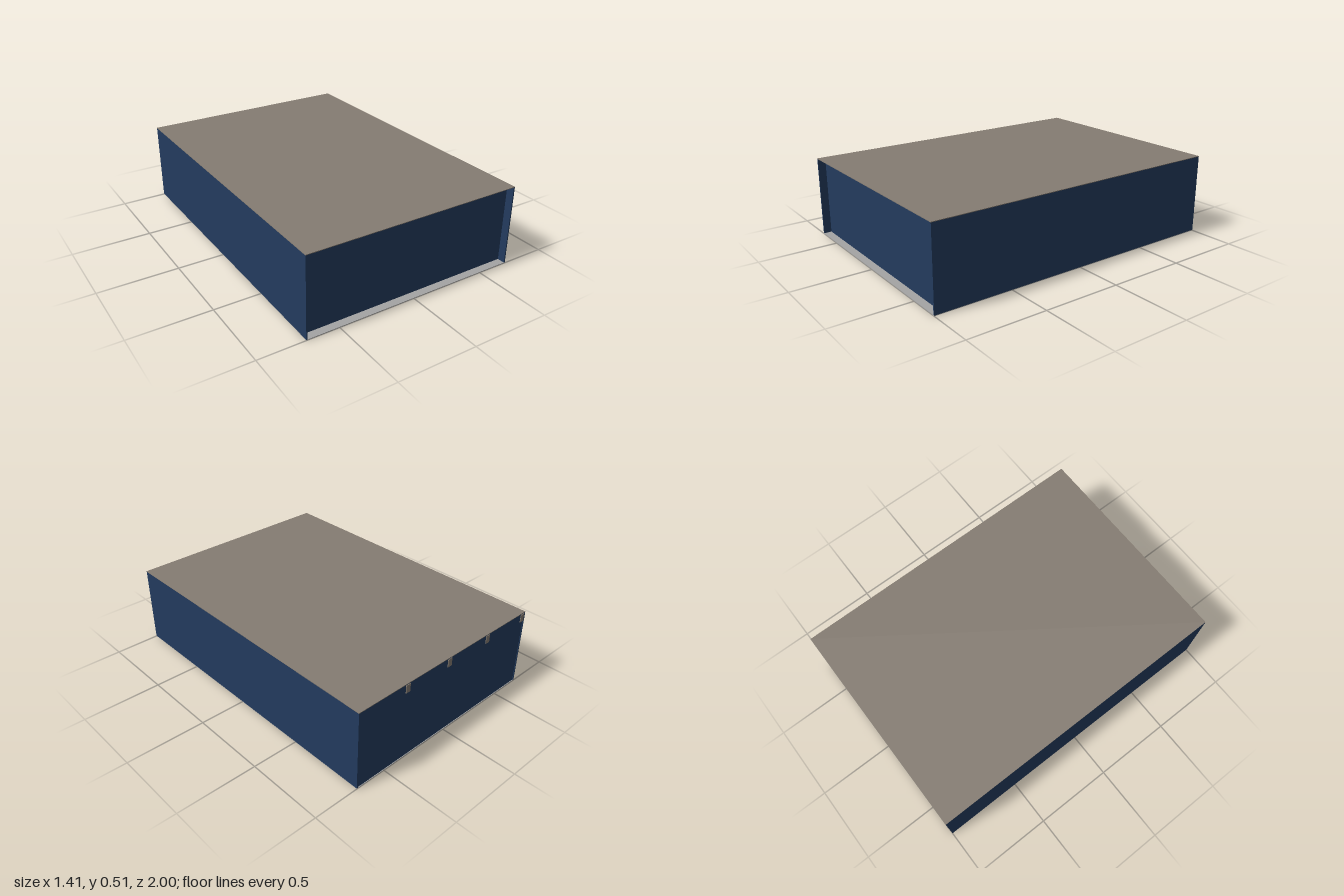
import * as THREE from 'three';

export function createModel() {
  const model = new THREE.Group();
  model.name = 'flatRoofedBox';
  const navy = new THREE.MeshStandardMaterial({ color: 0x233b5e });
  navy.name = 'navy cladding';
  const taupe = new THREE.MeshStandardMaterial({ color: 0x857c72 });
  taupe.name = 'taupe roof';
  const grey = new THREE.MeshStandardMaterial({ color: 0xa4a4a4 });
  grey.name = 'grey floor';

  const W = 1.414, H = 0.515, D = 2, skin = 0.004, wall = 0.008, recess = 0.05;

  function box(name, material, w, h, d, x, y, z) {
    const mesh = new THREE.Mesh(new THREE.BoxGeometry(w, h, d), material);
    mesh.name = name;
    mesh.position.set(x, y, z);
    model.add(mesh);
  }

  // Thin floor and roof sheets
  box('floor', grey, W, skin, D, 0, skin / 2, 0);
  box('roof', taupe, W, skin, D, 0, H - skin / 2, 0);

  // Side walls run the full depth
  const wallH = H - 2 * skin;
  for (const [name, s] of [['leftWall', 1], ['rightWall', -1]]) {
    box(name, navy, wall, wallH, D, s * (W - wall) / 2, H / 2, 0);
  }

  // Front panel is set back behind the floor edge, back panel is almost flush
  const innerW = W - 2 * wall;
  box('frontPanel', navy, innerW, wallH, wall, 0, H / 2, D / 2 - recess - wall / 2);
  box('backPanel', navy, innerW, wallH, wall, 0, H / 2, -D / 2 + 0.004 + wall / 2);

  // Roof joists, their ends showing through the back panel
  const joistD = D - recess - wall;
  for (let i = -2; i <= 1; i++) {
    box('roofJoist', taupe, 0.032, 0.052, joistD, i * 0.342, 0.478, -D / 2 + joistD / 2);
  }
  return model;
}
